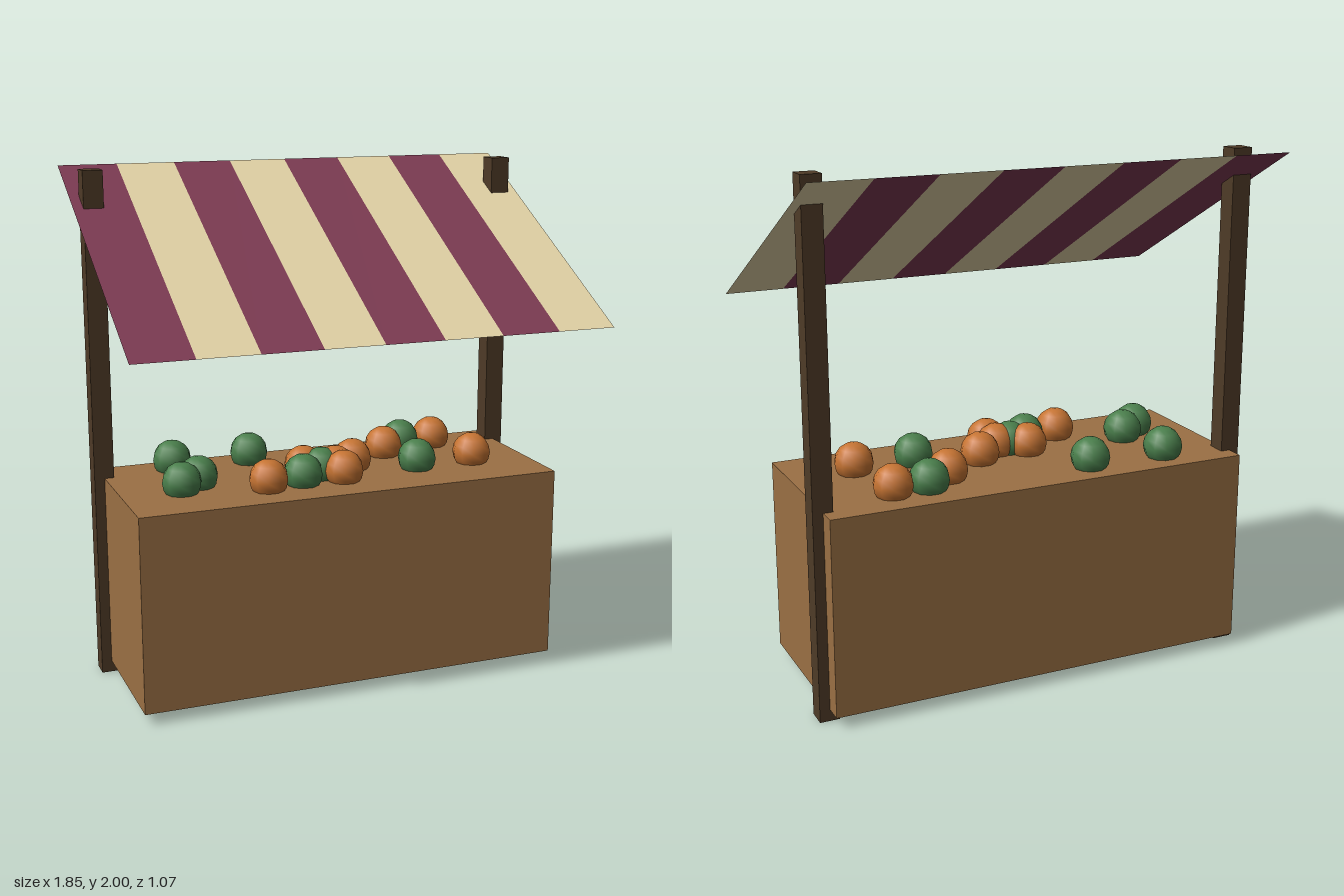
import * as THREE from 'three';

const material = (name, color, side = THREE.FrontSide) => {
  const m = new THREE.MeshStandardMaterial({ color, side });
  m.name = name;
  return m;
};

export function createModel() {
  const wood = material('counter wood', 0x9b7044);
  const darkWood = material('dark post wood', 0x4f3b27);
  const maroon = material('maroon cloth', 0x7d3b53, THREE.DoubleSide);
  const cream = material('cream cloth', 0xe3d3a6, THREE.DoubleSide);
  const orange = material('orange fruit', 0xc67433);
  const green = material('green fruit', 0x4a7f4c);

  const stall = new THREE.Group();
  stall.name = 'marketStall';
  const add = (parent, name, geometry, mat, x, y, z) => {
    const mesh = new THREE.Mesh(geometry, mat);
    mesh.name = name;
    mesh.position.set(x, y, z);
    parent.add(mesh);
    return mesh;
  };

  // Solid counter, raised slightly off the ground
  add(stall, 'counter', new THREE.BoxGeometry(1.69, 0.765, 0.69), wood, 0, 0.4275, -0.075);

  // Two tall posts that poke through the awning
  const postGeometry = new THREE.BoxGeometry(0.077, 2, 0.077);
  for (const side of [-1, 1]) {
    add(stall, side > 0 ? 'leftPost' : 'rightPost', postGeometry, darkWood, side * 0.846, 1, -0.308);
  }

  // Striped cloth awning, sloping down to the front
  const awning = new THREE.Group();
  awning.name = 'awning';
  const depth = 1.07, drop = 0.57, stripes = 8, stripeWidth = 1.846 / stripes;
  const stripeGeometry = new THREE.PlaneGeometry(stripeWidth, Math.hypot(depth, drop));
  for (let i = 0; i < stripes; i++) {
    add(awning, 'awningStripe', stripeGeometry, i % 2 ? cream : maroon,
      (i - (stripes - 1) / 2) * stripeWidth, 0, 0);
  }
  awning.rotation.x = -Math.atan2(depth, drop);
  awning.position.y = 2 - drop / 2;
  stall.add(awning);

  // Fruit scattered on the counter, as [x, z]
  const fruit = new THREE.Group();
  fruit.name = 'fruit';
  const fruitGeometry = new THREE.SphereGeometry(0.077, 10, 8);
  const greens = [[-0.615, 0.024], [-0.532, -0.037], [-0.565, -0.298], [-0.245, -0.297],
    [-0.148, 0.081], [-0.05, 0.015], [0.352, 0.031], [0.412, -0.277]];
  const oranges = [[-0.296, 0.104], [-0.106, -0.034], [0.01, 0.013], [0.018, 0.088],
    [0.112, -0.062], [0.305, -0.2], [0.554, -0.277], [0.597, 0.023]];
  for (const [x, z] of greens) add(fruit, 'greenFruit', fruitGeometry, green, x, 0.854, z);
  for (const [x, z] of oranges) add(fruit, 'orangeFruit', fruitGeometry, orange, x, 0.854, z);
  stall.add(fruit);

  return stall;
}
